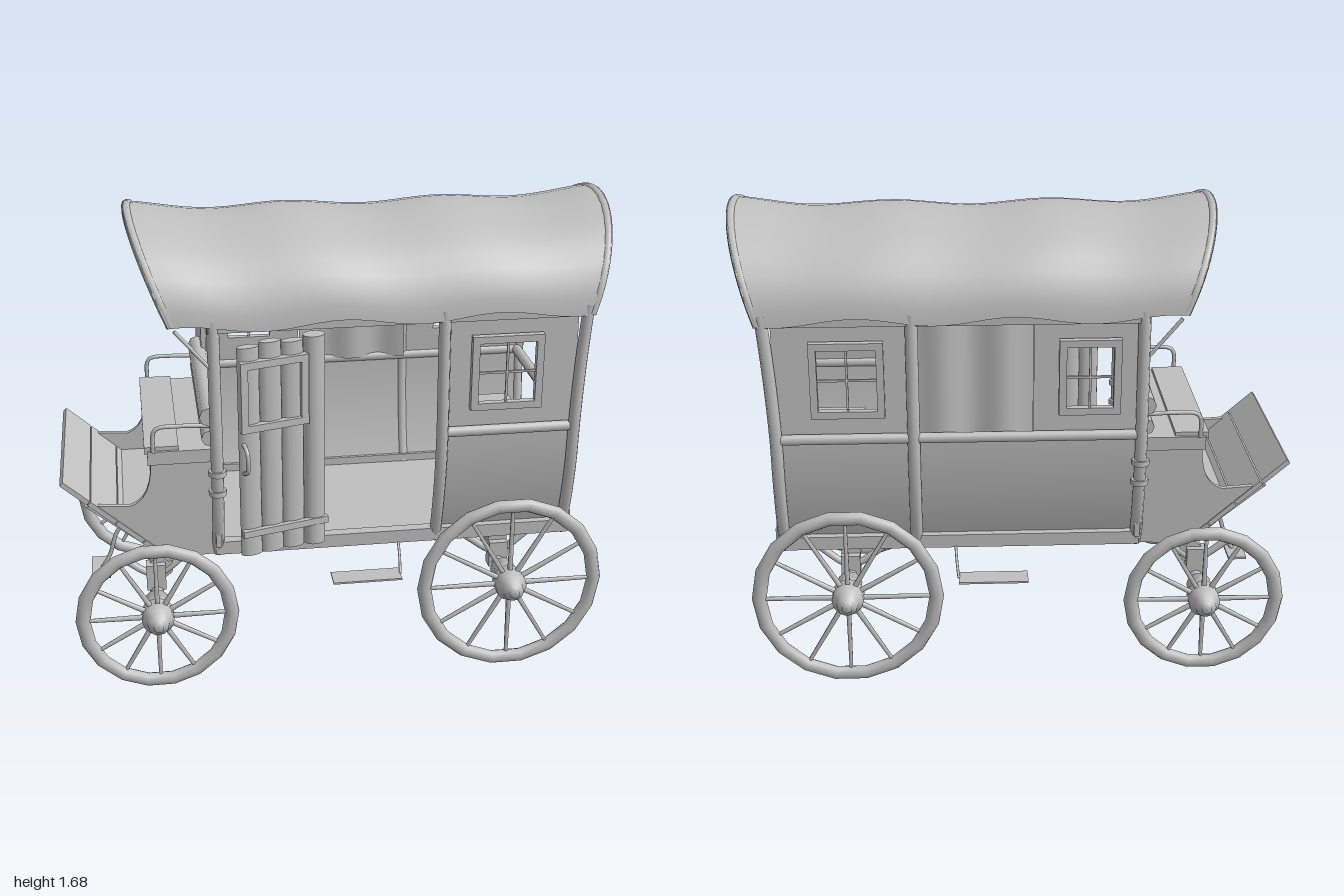
import * as THREE from 'three';

const wood = new THREE.MeshStandardMaterial({ color: 0xc0c0c0, side: THREE.DoubleSide });
wood.name = 'pale grey';

export function createModel() {
  const model = new THREE.Group();
  model.name = 'coveredWagon';
  const V = (x, y, z) => new THREE.Vector3(x, y, z);

  // ---- helpers ----
  const add = (name, geo, parent = model) => {
    const m = new THREE.Mesh(geo, wood);
    m.name = name;
    parent.add(m);
    return m;
  };
  const box = (name, x0, x1, y0, y1, z0, z1, parent) => {
    const m = add(name, new THREE.BoxGeometry(x1 - x0, y1 - y0, z1 - z0), parent);
    m.position.set((x0 + x1) / 2, (y0 + y1) / 2, (z0 + z1) / 2);
    return m;
  };
  const rod = (name, a, b, r, parent, r2 = r, sides = 8) => {
    const m = add(name, new THREE.CylinderGeometry(r2, r, a.distanceTo(b), sides), parent);
    m.position.copy(a).add(b).multiplyScalar(0.5);
    m.quaternion.setFromUnitVectors(V(0, 1, 0), b.clone().sub(a).normalize());
    return m;
  };
  const tube = (name, pts, r, parent, n = 16) =>
    add(name, new THREE.TubeGeometry(new THREE.CatmullRomCurve3(pts), n, r, 8), parent);
  // smooth surface from a rule f(u, v), with u and v from 0 to 1
  const sheet = (name, f, nu, nv) => {
    const geo = new THREE.PlaneGeometry(1, 1, nu, nv);
    const p = geo.attributes.position;
    for (let i = 0; i < p.count; i++) {
      const q = f(p.getX(i) + 0.5, p.getY(i) + 0.5);
      p.setXYZ(i, q.x, q.y, q.z);
    }
    geo.computeVertexNormals();
    return add(name, geo);
  };

  // ---- body sides: curved in section ----
  const zAt = (y) => (y < 0.92 ? 0.395 - 0.075 * ((0.92 - y) / 0.45) ** 2 : 0.395 - 0.015 * (y - 0.92) / 0.43);
  const wall = (name, x0, x1, y0, y1, s, wave = 0) =>
    sheet(name, (u, v) => {
      const y = y0 + (y1 - y0) * v;
      const z = zAt(y) - 0.015 - wave * Math.cos(u * Math.PI * 2) ** 2;
      return s > 0 ? V(x0 + (x1 - x0) * u, y, z) : V(x1 + (x0 - x1) * u, y, -z);
    }, wave ? 16 : 1, 8);
  const windowFrame = (a, b, c, d, z, parent, bars = true) => {
    const t = 0.013;
    for (const x of [a, b]) box('windowFrame', x - t, x + t, c - t, d + t, z - t, z + t, parent);
    for (const y of [c, d]) box('windowFrame', a, b, y - t, y + t, z - t, z + t, parent);
    if (!bars) return;
    const x = (a + b) / 2, y = (c + d) / 2;
    box('windowBar', x - 0.004, x + 0.004, c, d, z - 0.004, z + 0.004, parent);
    box('windowBar', a, b, y - 0.004, y + 0.004, z - 0.004, z + 0.004, parent);
  };
  const windowWall = (x0, x1, a, b, s) => {
    wall('windowWall', x0, a, 0.92, 1.36, s);
    wall('windowWall', b, x1, 0.92, 1.36, s);
    wall('windowWall', a, b, 0.92, 1.01, s);
    wall('windowWall', a, b, 1.26, 1.36, s);
    windowFrame(a, b, 1.01, 1.26, s * 0.39);
  };

  wall('rearSidePanel', 0.35, 0.83, 0.47, 0.92, 1);
  windowWall(0.35, 0.83, 0.46, 0.69, 1);
  wall('longSidePanel', -0.45, 0.83, 0.47, 0.92, -1);
  windowWall(0.35, 0.83, 0.46, 0.69, -1);
  wall('curtain', -0.07, 0.35, 0.92, 1.36, -1, 0.025);
  windowWall(-0.45, -0.07, -0.36, -0.17, -1);

  for (const s of [1, -1]) {
    // posts follow the curve of the walls
    for (const x of [-0.45, 0.35, 0.83]) {
      tube('post', [0.46, 0.6, 0.76, 0.92, 1.14, 1.37].map((y) =>
        V(x + (x > 0.8 && y > 1 ? (y - 1) * 0.08 : 0), y, s * zAt(y))), 0.022);
    }
    for (const y of [0.72, 0.8]) rod('postCollar', V(-0.45, y, s * zAt(y)), V(-0.45, y + 0.02, s * zAt(y)), 0.032);
    rod('sideRail', V(s > 0 ? 0.35 : -0.45, 0.915, s * 0.388), V(0.83, 0.915, s * 0.388), 0.02);
    box('topRail', -0.47, 0.86, 1.33, 1.37, s * 0.38 - 0.015, s * 0.38 + 0.015);
    box('sill', -0.46, 0.85, 0.46, 0.51, s * 0.325 - 0.02, s * 0.325 + 0.02);
    box('frontPanel', -0.46, -0.44, 0.5, 1.36, s * 0.305 - 0.06, s * 0.305 + 0.06);
    rod('roofBrace', V(-0.58, 1.34, s * 0.38), V(-0.46, 1.2, s * 0.39), 0.007);
    // hanging side step
    box('sideStep', -0.05, 0.2, 0.38, 0.387, s * 0.44 - 0.04, s * 0.44 + 0.04);
    tube('stepHanger', [V(0.2, 0.385, s * 0.44), V(0.205, 0.42, s * 0.4), V(0.21, 0.47, s * 0.33)], 0.005);
  }
  box('floor', -0.46, 0.84, 0.455, 0.48, -0.33, 0.33);
  box('rearSill', 0.81, 0.86, 0.46, 0.54, -0.33, 0.33);
  box('rearTopBeam', 0.84, 0.87, 1.34, 1.38, -0.39, 0.39);
  box('frontTopBeam', -0.47, -0.43, 1.34, 1.4, -0.39, 0.39);

  // bench inside the rear opening
  box('rearBench', 0.56, 0.78, 0.7, 0.74, -0.34, 0.34);
  rod('rearRail', V(0.82, 0.915, -0.38), V(0.82, 0.915, 0.38), 0.02);

  // ---- canvas roof, flaring past both ends ----
  const arch = (t) => [0.4 * Math.cos(t), Math.sin(t)];
  const roofPoint = (u, t, k = 1) => {
    const [z, h] = arch(t);
    const x = (-0.6 - 0.13 * h) + u * (1.48 + 0.24 * h);
    const flare = 0.022 * (2 * u - 1) ** 4;
    const sag = 0.01 * Math.cos(u * Math.PI * 6) - 0.01;
    const ripple = 0.014 * Math.sin(u * 17 + 1) * (1 - h);
    return V(x, 1.345 + ripple + h * (0.31 * k + sag + flare), z * k);
  };
  sheet('canvasRoof', (u, v) => roofPoint(u, Math.PI * v), 32, 18);
  for (const u of [0.008, 0.992]) {
    tube('roofHoop', Array.from({ length: 13 }, (_, i) => roofPoint(u, Math.PI * i / 12, 0.965)), 0.017, model, 32);
  }
  const gable = new THREE.Shape();
  for (let i = 0; i <= 12; i++) {
    const [z, h] = arch(Math.PI * i / 12);
    gable[i ? 'lineTo' : 'moveTo'](z * 0.97, 1.35 + h * 0.275);
  }
  const gableMesh = add('frontGable', new THREE.ExtrudeGeometry(gable, { depth: 0.015, bevelEnabled: false }));
  gableMesh.rotation.y = Math.PI / 2;
  gableMesh.position.x = -0.46;

  // ---- open door on the left side ----
  const door = new THREE.Group();
  door.name = 'openDoor';
  door.position.set(-0.38, 0, 0.485);
  door.rotation.y = 0.27;
  model.add(door);
  const width = 0.32, planks = 4, pw = width / planks;
  for (let i = 0; i < planks; i++) {
    const x = (i + 0.5) * pw;
    const plank = rod('doorPlank', V(x, 0.53, 0), V(x, 1.31 + 0.01 * (i % 2), 0), pw / 2, door, pw / 2, 12);
    plank.scale.z = i === planks - 1 ? 0.8 : 0.5;
  }
  windowFrame(0.015, 0.235, 1.02, 1.25, 0.02, door, false);
  box('doorBand', 0, width, 0.61, 0.635, 0.015, 0.035, door);
  tube('doorHandle', [V(0.015, 0.85, 0.01), V(0.015, 0.87, 0.045), V(0.015, 0.94, 0.045), V(0.015, 0.96, 0.01)], 0.008, door);

  // ---- driver's box ----
  const side = new THREE.Shape();
  side.moveTo(-0.45, 0.46);
  side.lineTo(-0.64, 0.45);
  side.lineTo(-0.92, 0.68);
  side.lineTo(-0.76, 0.67);
  side.quadraticCurveTo(-0.68, 0.69, -0.68, 0.84);
  side.lineTo(-0.45, 0.84);
  const sideGeo = new THREE.ExtrudeGeometry(side, { depth: 0.02, bevelEnabled: false, curveSegments: 6 });
  for (const z of [0.31, -0.33]) add('driverBoxSide', sideGeo).position.z = z;
  box('driverFloor', -0.72, -0.45, 0.46, 0.5, -0.32, 0.32);
  box('footFloor', -0.81, -0.66, 0.585, 0.6, -0.32, 0.32);
  box('seatRiser', -0.68, -0.66, 0.59, 0.77, -0.32, 0.32);
  box('seat', -0.69, -0.46, 0.83, 0.88, -0.34, 0.34);
  box('seatBoard', -0.7, -0.58, 0.87, 0.895, -0.33, 0.33);
  rod('backrest', V(-0.47, 1.01, -0.36), V(-0.47, 1.01, 0.36), 0.035);
  rod('backrest', V(-0.47, 0.93, -0.36), V(-0.47, 0.93, 0.36), 0.03);
  for (const z of [-0.34, 0.34]) {
    tube('armRail', [V(-0.67, 0.88, z), V(-0.66, 0.965, z), V(-0.58, 0.975, z), V(-0.46, 0.97, z)], 0.008);
  }
  // sloping footboard of separate planks
  for (let i = 0; i < 4; i++) {
    const b = box('footboardPlank', -0.06, 0.06, -0.009, 0.009, -0.335, 0.335);
    b.position.set(-0.95 + i * 0.093, 0.735 - i * 0.083, 0);
    b.rotation.z = -0.73;
  }
  // low front step on a bent iron
  tube('frontStepIron', [V(-0.66, 0.42, 0), V(-0.8, 0.42, 0), V(-0.85, 0.3, 0), V(-0.88, 0.25, 0)], 0.008);
  box('frontStep', -0.92, -0.85, 0.245, 0.255, -0.08, 0.08);

  // ---- running gear ----
  const wheel = (x, y, r, s) => {
    const g = new THREE.Group();
    g.name = x < 0 ? 'frontWheel' : 'rearWheel';
    g.position.set(x, y, s * 0.488);
    model.add(g);
    const rim = add('rim', new THREE.TorusGeometry(r - 0.025, 0.026, 8, 18), g);
    rim.scale.z = 0.8;
    for (let i = 0; i < 12; i++) {
      const a = i * Math.PI / 6, c = Math.cos(a), d = Math.sin(a);
      rod('spoke', V(c * 0.04, d * 0.04, 0), V(c * (r - 0.03), d * (r - 0.03), 0), 0.01, g, 0.007, 6);
    }
    const hub = add('hub', new THREE.LatheGeometry([[0, -0.11], [0.045, -0.11], [0.045, -0.05], [0.057, -0.03],
      [0.057, 0.03], [0.04, 0.045], [0.036, 0.07], [0.018, 0.075], [0.018, 0.085], [0, 0.085]]
      .map((p) => new THREE.Vector2(...p)), 12), g);
    hub.rotation.x = s * Math.PI / 2;
  };
  for (const s of [1, -1]) {
    wheel(-0.683, 0.307, 0.289, s);
    wheel(0.597, 0.342, 0.342, s);
    for (const x of [-0.68, 0.595]) {
      tube('spring', [V(x - 0.12, 0.44, s * 0.29), V(x, 0.37, s * 0.29), V(x + 0.12, 0.45, s * 0.29)], 0.014);
      box('axleBlock', x - 0.035, x + 0.035, 0.32, 0.42, s * 0.3 - 0.025, s * 0.3 + 0.025);
    }
  }
  rod('frontAxle', V(-0.68, 0.31, -0.4), V(-0.68, 0.31, 0.4), 0.025);
  rod('frontBolster', V(-0.66, 0.4, -0.3), V(-0.66, 0.4, 0.3), 0.045, model, 0.045, 12);
  rod('rearAxle', V(0.595, 0.34, -0.4), V(0.595, 0.34, 0.4), 0.025);
  box('rearBolster', 0.56, 0.63, 0.4, 0.46, -0.3, 0.3);
  for (const s of [1, -1]) rod('reachPole', V(-0.68, 0.41, s * 0.2), V(-0.4, 0.455, s * 0.2), 0.012);
  return model;
}
